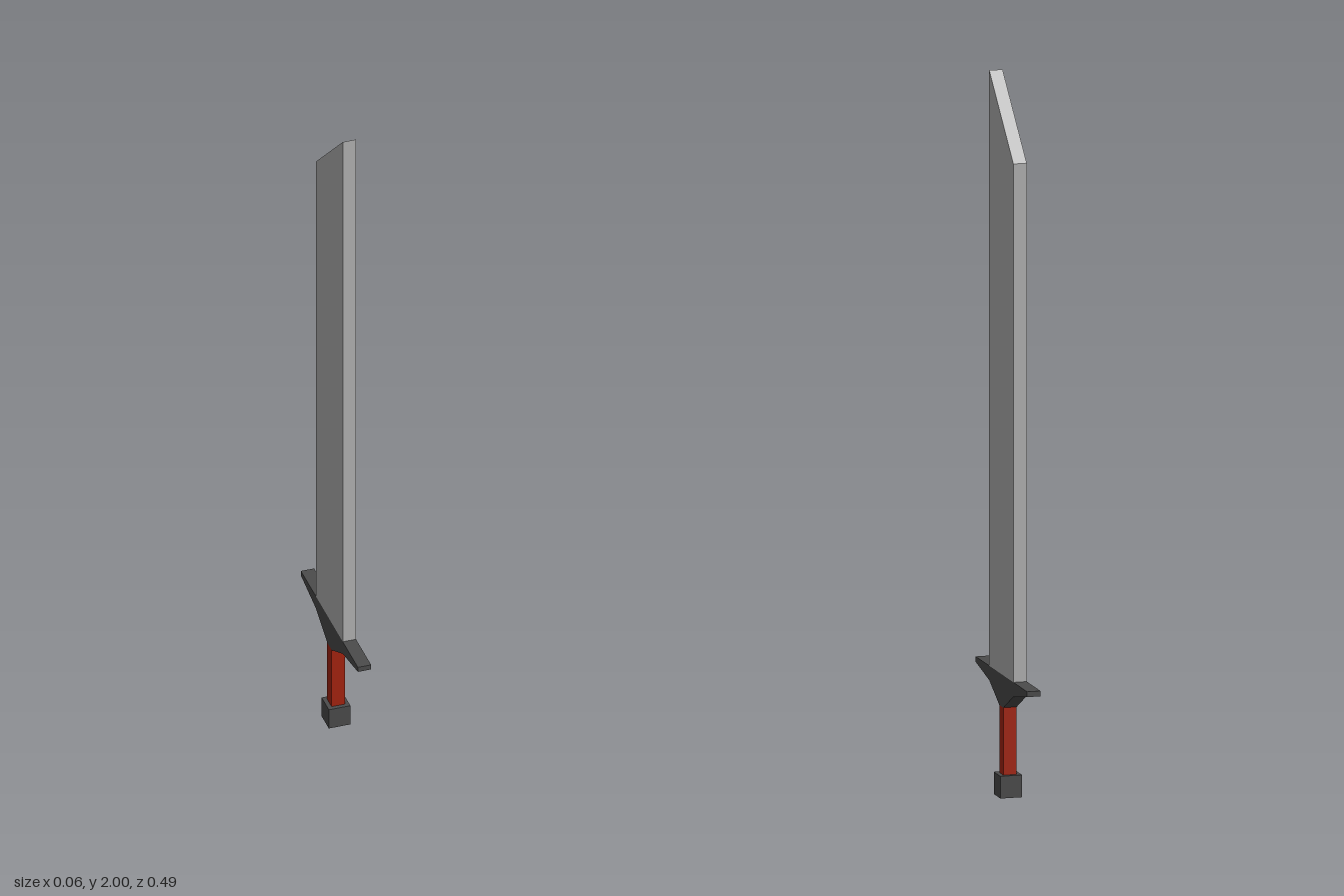
import * as THREE from 'three';

const material = (name, color) => {
  const m = new THREE.MeshStandardMaterial({ color });
  m.name = name;
  return m;
};

// Flat slab from a side profile of [z, y] points, centred on x = 0
function slab(name, points, thickness, mat) {
  const shape = new THREE.Shape(points.map(([z, y]) => new THREE.Vector2(z, y)));
  const geo = new THREE.ExtrudeGeometry(shape, { depth: thickness, bevelEnabled: false });
  geo.translate(0, 0, -thickness / 2);
  geo.rotateY(-Math.PI / 2);
  const mesh = new THREE.Mesh(geo, mat);
  mesh.name = name;
  return mesh;
}

// Square post between two heights
function post(name, width, y0, y1, mat) {
  const mesh = new THREE.Mesh(new THREE.BoxGeometry(width, y1 - y0, width), mat);
  mesh.position.y = (y0 + y1) / 2;
  mesh.name = name;
  return mesh;
}

export function createModel() {
  const steel = material('steel', 0xb2b2b2);
  const iron = material('dark iron', 0x4b4b4b);
  const red = material('red grip', 0xa52410);
  const thickness = 0.038;

  const group = new THREE.Group();
  group.name = 'sword';

  // Broad blade with a slanted tip, highest at the front
  group.add(slab('blade', [[-0.114, 0.34], [0.114, 0.34], [0.114, 2], [-0.114, 1.785]], thickness, steel));

  // Crossguard: flat top, tapering arms underneath
  const half = [[0.019, 0.25], [0.114, 0.3], [0.243, 0.325], [0.243, 0.34]];
  const mirrored = half.map(([z, y]) => [-z, y]).reverse();
  group.add(slab('crossguard', [...half, ...mirrored], thickness, iron));

  // Grip and pommel
  group.add(post('grip', thickness, 0.062, 0.25, red));
  group.add(post('pommel', 0.062, 0, 0.062, iron));
  return group;
}
